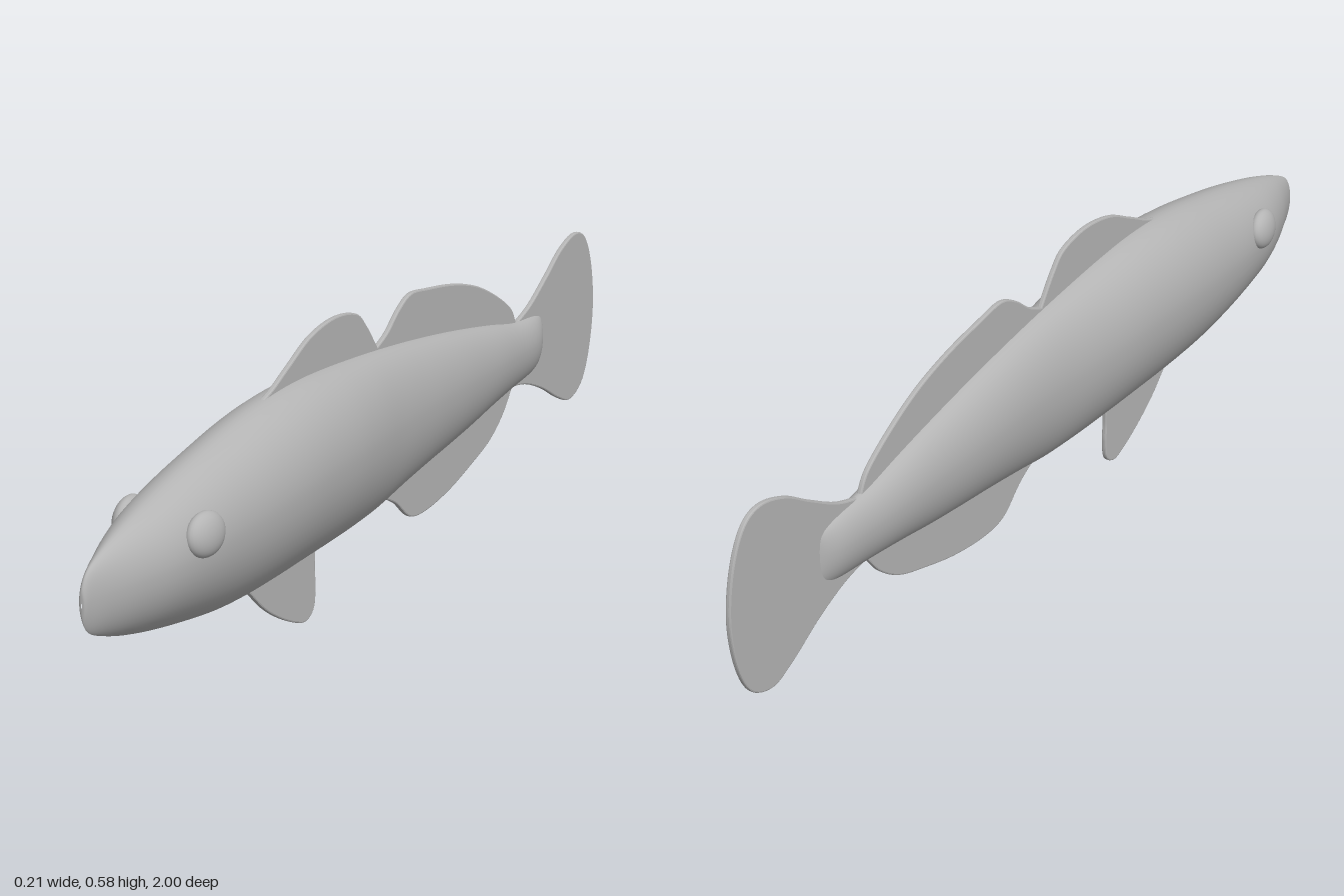
import * as THREE from 'three';

const skin = new THREE.MeshStandardMaterial({ color: 0xb4b4b4 });
skin.name = 'plain grey';

// Body stations from snout to tail root: z, top, bottom, half width
const STATIONS = [
  [1.0, 0.315, 0.305, 0.001], [0.997, 0.342, 0.276, 0.007], [0.98, 0.368, 0.252, 0.014],
  [0.94, 0.389, 0.232, 0.03], [0.88, 0.411, 0.21, 0.053], [0.8, 0.433, 0.188, 0.076],
  [0.7, 0.456, 0.166, 0.09], [0.6, 0.475, 0.148, 0.098], [0.5, 0.491, 0.139, 0.104],
  [0.4, 0.501, 0.136, 0.106], [0.3, 0.503, 0.135, 0.103], [0.2, 0.497, 0.134, 0.097],
  [0.1, 0.487, 0.134, 0.086], [0, 0.475, 0.138, 0.074], [-0.1, 0.461, 0.151, 0.067],
  [-0.2, 0.445, 0.163, 0.063], [-0.3, 0.427, 0.173, 0.058], [-0.4, 0.407, 0.184, 0.051],
  [-0.5, 0.385, 0.198, 0.044], [-0.6, 0.361, 0.209, 0.034], [-0.68, 0.352, 0.216, 0.028],
  [-0.72, 0.345, 0.225, 0.018], [-0.745, 0.335, 0.24, 0.004],
];

function bodyGeometry(rings = 110, sides = 48) {
  const heights = new THREE.CatmullRomCurve3(STATIONS.map(([z, t, b]) => new THREE.Vector3(z, t, b)), false, 'catmullrom');
  const widths = new THREE.CatmullRomCurve3(STATIONS.map(([z, , , w]) => new THREE.Vector3(z, w, 0)), false, 'catmullrom');
  const pos = [], index = [];
  for (let i = 0; i <= rings; i++) {
    const { x: z, y: top, z: bottom } = heights.getPoint(i / rings);
    const w = widths.getPoint(i / rings).y;
    const mid = bottom + (top - bottom) * 0.56;
    for (let j = 0; j < sides; j++) {
      const a = (j / sides) * Math.PI * 2, c = Math.cos(a), s = Math.sin(a);
      // rounder back, narrower keel-shaped belly
      const x = Math.sign(c) * w * Math.abs(c) ** (s > 0 ? 1.08 : 1.5);
      pos.push(x, mid + s * (s > 0 ? top - mid : mid - bottom), z);
      if (i < rings) {
        const p = i * sides + j, q = i * sides + (j + 1) % sides;
        index.push(p, p + sides, q, q, p + sides, q + sides);
      }
    }
  }
  const g = new THREE.BufferGeometry();
  g.setAttribute('position', new THREE.Float32BufferAttribute(pos, 3));
  g.setIndex(index);
  g.computeVertexNormals();
  return g;
}

// Thin fin: smooth edge through [z, y] points, straight root hidden in the body
function fin(name, edge, root = []) {
  const [first, ...rest] = edge.map(([z, y]) => new THREE.Vector2(z, y));
  const shape = new THREE.Shape();
  shape.moveTo(first.x, first.y);
  shape.splineThru(rest);
  root.forEach(([z, y]) => shape.lineTo(z, y));
  const g = new THREE.ExtrudeGeometry(shape, {
    depth: 0.005, curveSegments: 40, bevelEnabled: true,
    bevelThickness: 0.003, bevelSize: 0.003, bevelOffset: -0.003, bevelSegments: 2,
  });
  g.translate(0, 0, -0.0025);
  g.rotateY(-Math.PI / 2);
  const mesh = new THREE.Mesh(g, skin);
  mesh.name = name;
  return mesh;
}

export function createModel() {
  const fish = new THREE.Group();
  fish.name = 'fish';

  const body = new THREE.Mesh(bodyGeometry(), skin);
  body.name = 'body';
  fish.add(body);

  // Fins on the centre line
  fish.add(
    fin('frontDorsalFin', [[0.42, 0.498], [0.38, 0.51], [0.32, 0.538], [0.24, 0.573], [0.15, 0.585],
      [0.07, 0.57], [0.03, 0.535], [-0.015, 0.475]], [[0, 0.44], [0.36, 0.46]]),
    fin('rearDorsalFin', [[0.01, 0.47], [-0.05, 0.494], [-0.1, 0.53], [-0.15, 0.55], [-0.22, 0.541], [-0.33, 0.52],
      [-0.43, 0.489], [-0.52, 0.444], [-0.59, 0.396], [-0.615, 0.355]], [[-0.58, 0.34], [-0.3, 0.4], [0, 0.44]]),
    fin('analFin', [[-0.04, 0.15], [-0.09, 0.122], [-0.15, 0.073], [-0.22, 0.063], [-0.32, 0.074], [-0.42, 0.099],
      [-0.5, 0.125], [-0.56, 0.165], [-0.6, 0.212]], [[-0.56, 0.235], [-0.3, 0.2], [-0.06, 0.17]]),
    fin('pelvicFin', [[0.48, 0.145], [0.42, 0.085], [0.36, 0.042], [0.3, 0.01], [0.265, 0.001], [0.237, 0.018],
      [0.23, 0.06], [0.232, 0.1], [0.23, 0.145]], [[0.25, 0.17], [0.46, 0.17]]),
    fin('tailFin', [[-0.6, 0.35], [-0.68, 0.375], [-0.76, 0.42], [-0.83, 0.463], [-0.9, 0.482], [-0.95, 0.46],
      [-0.985, 0.39], [-1, 0.29], [-0.985, 0.19], [-0.95, 0.122], [-0.89, 0.098], [-0.83, 0.12],
      [-0.75, 0.166], [-0.67, 0.2], [-0.6, 0.215]]),
  );

  // Bulging eyes
  for (const side of [1, -1]) {
    const eye = new THREE.Mesh(new THREE.SphereGeometry(1, 28, 18), skin);
    eye.name = side > 0 ? 'leftEye' : 'rightEye';
    eye.scale.set(0.023, 0.042, 0.048);
    eye.position.set(side * 0.081, 0.365, 0.735);
    eye.rotation.set(0, -side * 0.12, side * 0.12);
    fish.add(eye);
  }
  return fish;
}
